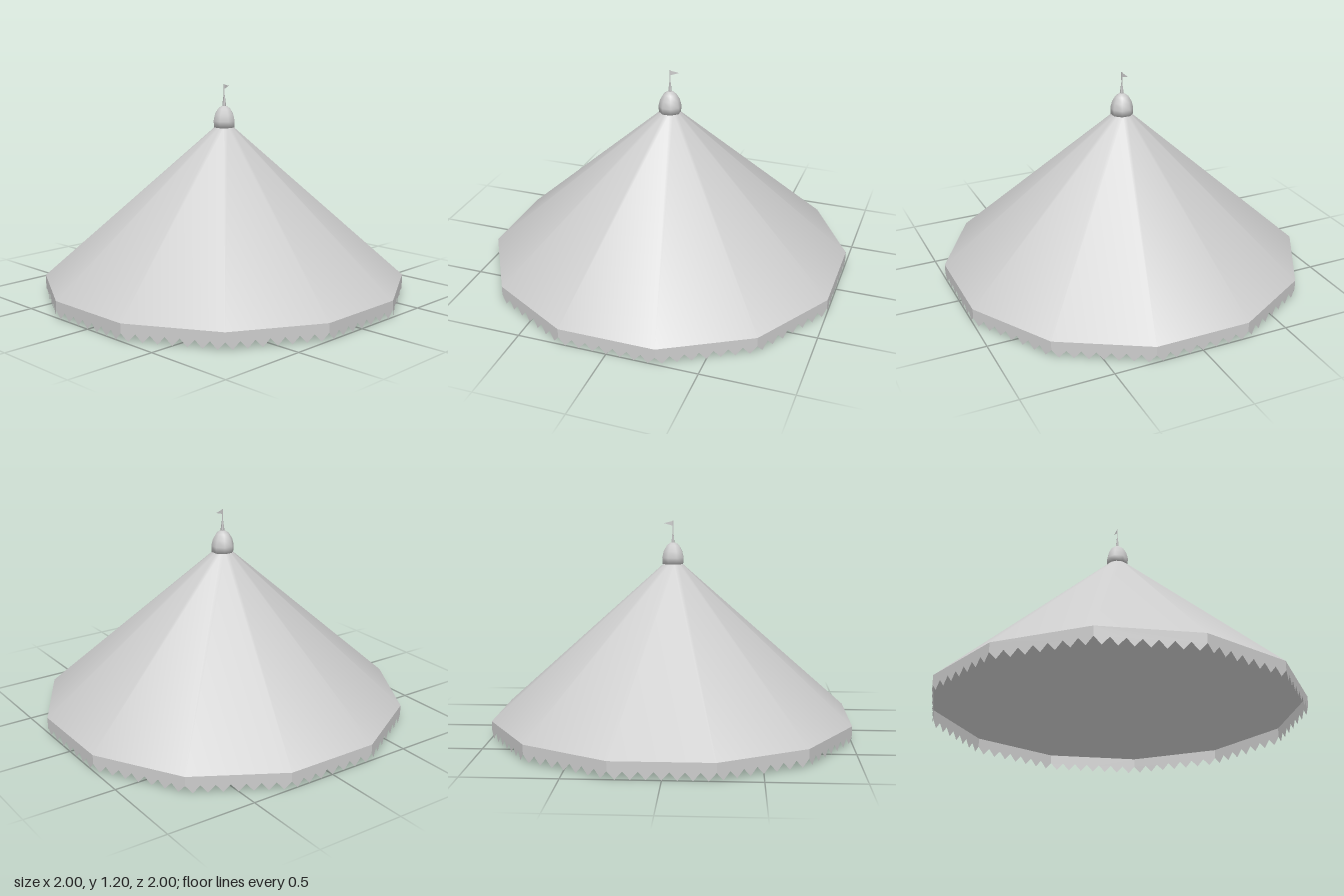
import * as THREE from 'three';

const SIDES = 12;
const RIM = 1 / Math.cos(Math.PI / SIDES); // corner radius for flats at 1
const EAVE = 0.093;

export function createModel() {
  const group = new THREE.Group();
  const canvas = new THREE.MeshStandardMaterial({ color: 0xcccccc, side: THREE.DoubleSide });
  canvas.name = 'light grey canvas';

  function add(name, geometry, y = 0) {
    const mesh = new THREE.Mesh(geometry, canvas);
    mesh.name = name;
    mesh.position.y = y;
    group.add(mesh);
    return mesh;
  }

  // Open twelve-sided roof, narrowing to the finial
  const top = 0.965;
  add('roof', new THREE.CylinderGeometry(0.045, RIM, top - EAVE, SIDES, 1, true, Math.PI / SIDES),
    (top + EAVE) / 2);

  // Hanging valance: one zigzag strip per side
  const half = Math.tan(Math.PI / SIDES);
  const teeth = 7;
  const strip = new THREE.Shape();
  strip.moveTo(-half, EAVE);
  for (let i = 0; i <= teeth * 2; i++) {
    strip.lineTo(-half + (half * i) / teeth, i % 2 ? 0 : 0.042);
  }
  strip.lineTo(half, EAVE);
  const stripGeometry = new THREE.ShapeGeometry(strip).translate(0, 0, 1);
  for (let i = 0; i < SIDES; i++) {
    add('valance', stripGeometry).rotation.y = (i * Math.PI * 2) / SIDES;
  }

  // Domed finial cap
  const dome = [[0, 0.955], [0.062, 0.957], [0.064, 0.993], [0.055, 1.03], [0.037, 1.061], [0.016, 1.076], [0, 1.078]]
    .map(([r, y]) => new THREE.Vector2(r, y));
  add('finialCap', new THREE.LatheGeometry(dome, 8, Math.PI / 8));

  // Tapered spike and thin flagpole
  const spike = [[0.01, 1.07], [0.01, 1.09], [0.003, 1.14], [0.003, 1.2], [0, 1.2]]
    .map(([r, y]) => new THREE.Vector2(r, y));
  add('flagpole', new THREE.LatheGeometry(spike, 4, Math.PI / 4));

  // Pennant, turned slightly to the back
  const pennant = new THREE.Shape();
  pennant.moveTo(0, 1.198);
  pennant.lineTo(0.052, 1.186);
  pennant.lineTo(0, 1.171);
  add('pennant', new THREE.ShapeGeometry(pennant)).rotation.y = 0.24;

  return group;
}
